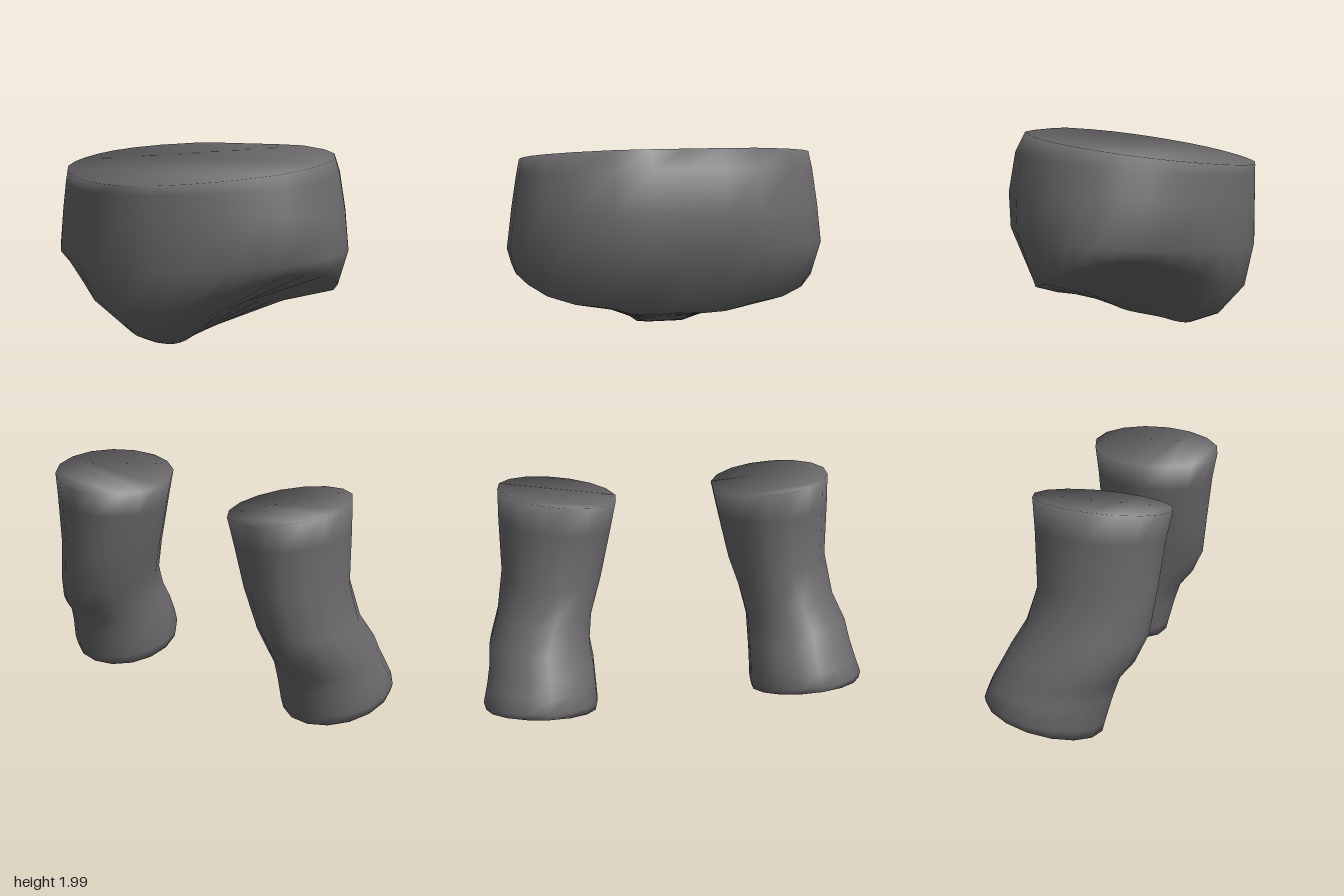
import * as THREE from 'three';

const V = (x, y, z) => new THREE.Vector3(x, y, z);

// Closed smooth solid through equal rings listed top to bottom.
// Each ring starts at the front and runs towards +x.
function loft(rings) {
  const n = rings[0].length, last = (rings.length - 1) * n, index = [];
  for (let r = 0; r < rings.length - 1; r++) {
    for (let i = 0; i < n; i++) {
      const a = r * n + i, b = r * n + (i + 1) % n;
      index.push(a, a + n, b, b, a + n, b + n);
    }
  }
  // end caps, as strips running from side to side
  for (let i = 0; i < n / 2; i++) {
    const p = i, q = i + 1, u = (n - i) % n, w = n - i - 1;
    if (q !== w) index.push(p, q, w, last + p, last + w, last + q);
    if (p !== u) index.push(p, w, u, last + p, last + u, last + w);
  }
  const pts = rings.flat();
  // every face counts equally, so the rims shade softly
  const normals = pts.map(() => V(0, 0, 0));
  const face = new THREE.Triangle();
  for (let k = 0; k < index.length; k += 3) {
    const ids = index.slice(k, k + 3), nrm = V(0, 0, 0);
    face.set(...ids.map(j => pts[j])).getNormal(nrm);
    ids.forEach(j => normals[j].add(nrm));
  }
  const flat = list => new THREE.Float32BufferAttribute(list.flatMap(v => v.toArray()), 3);
  const geo = new THREE.BufferGeometry();
  geo.setAttribute('position', flat(pts));
  geo.setAttribute('normal', flat(normals.map(v => v.normalize())));
  geo.setIndex(index);
  return geo;
}

// Mirrors a half ring (front to back on +x) and rounds it to 28 points
function fullRing(half) {
  const mirrored = half.slice(1, -1).reverse().map(p => V(-p.x, p.y, p.z));
  const curve = new THREE.CatmullRomCurve3([...half, ...mirrored], true);
  return Array.from({ length: 28 }, (_, i) => curve.getPoint(i / 28));
}

function pelvisGeometry() {
  // widest outline, x and z
  const outline = [[0, .41], [.21, .36], [.39, .25], [.5, .13], [.54, 0],
    [.525, -.14], [.44, -.27], [.22, -.39], [0, -.38]];
  const band = (sx, back, y) => outline.map(([x, z]) => {
    const zz = z < 0 ? z * back : z;
    return V(x * sx, y(zz), zz);
  });
  // lower edge of the hips, then the leg openings, then the crotch
  const hips = [[0, 1.48, .38], [.16, 1.49, .34], [.32, 1.56, .24], [.47, 1.61, .12], [.525, 1.6, 0],
    [.5, 1.56, -.12], [.4, 1.51, -.23], [.21, 1.49, -.3], [0, 1.5, -.29]];
  const openings = [[0, 1.38, .29], [.06, 1.39, .28], [.13, 1.42, .22], [.23, 1.48, .12], [.3, 1.515, 0],
    [.3, 1.49, -.1], [.25, 1.475, -.17], [.14, 1.455, -.25], [0, 1.46, -.255]];
  const crotch = [[0, 1.35, .2], [.04, 1.35, .19], [.06, 1.355, .16], [.065, 1.37, .1], [.065, 1.38, .03],
    [.06, 1.39, -.03], [.05, 1.41, -.09], [.03, 1.43, -.14], [0, 1.435, -.16]];
  return loft([
    band(.91, .85, z => 1.951 - .149 * z),
    band(.93, .94, z => 1.9 - .1 * z),
    band(.965, 1, z => 1.79 - .03 * z),
    band(1, .98, z => 1.655 - .08 * z),
    ...[hips, openings, crotch].map(r => r.map(p => V(...p))),
  ].map(fullRing));
}

// side is 1 for the left leg, -1 for the right
function legGeometry(side) {
  // centre x, half width, front z, front y, back z, back y, sideways tilt
  const sections = [
    [.39, .21, .22, .775, -.26, .805, .025],
    [.4, .2, .2, .68, -.25, .7, .02],
    [.417, .178, .178, .52, -.24, .5, .01],
    [.45, .168, .155, .36, -.275, .375, 0],
    [.475, .178, .11, .265, -.325, .29, 0],
    [.475, .185, .06, .205, -.36, .225, 0],
    [.48, .192, .037, .14, -.39, .17, .005],
    [.487, .202, .01, .045, -.408, .125, .01],
    [.487, .195, 0, .008, -.405, .105, .012],
  ];
  const n = 16;
  return loft(sections.map(([cx, rx, zf, yf, zb, yb, tilt]) =>
    Array.from({ length: n }, (_, i) => {
      const a = i / n * Math.PI * 2, s = Math.sin(a), t = (1 - Math.cos(a)) / 2;
      return V(side * cx + rx * s, yf + (yb - yf) * t + side * s * tilt, zf + (zb - zf) * t);
    })));
}

export function createModel() {
  const group = new THREE.Group();
  const cloth = new THREE.MeshStandardMaterial({ color: 0x6c6a6d });
  cloth.name = 'dark grey cloth';
  const add = (name, geometry) => {
    const mesh = new THREE.Mesh(geometry, cloth);
    mesh.name = name;
    group.add(mesh);
  };
  add('pelvis', pelvisGeometry());
  add('leftKnee', legGeometry(1));
  add('rightKnee', legGeometry(-1));
  return group;
}
